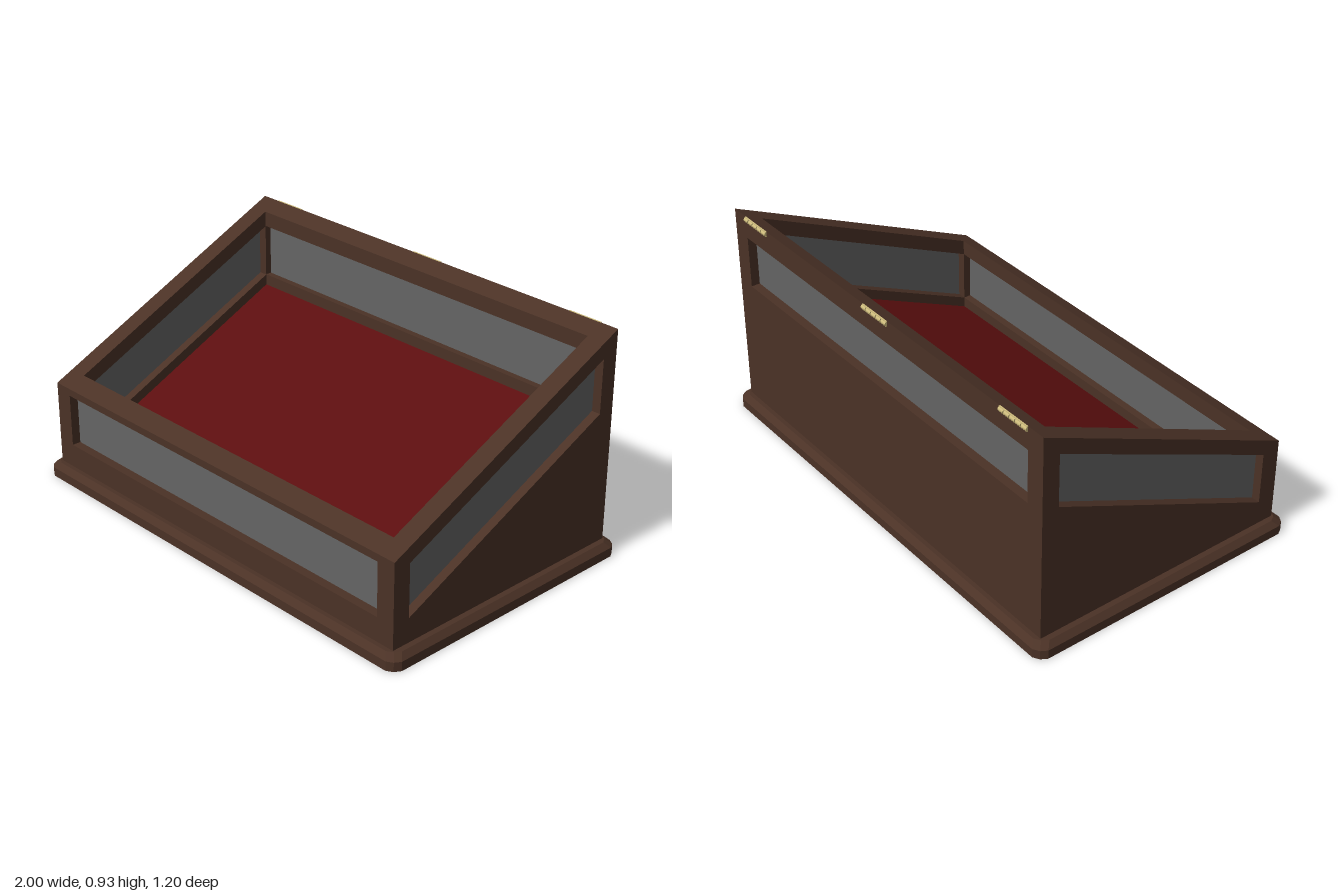
import * as THREE from 'three';

const HALF_W = 0.955, IN_W = 0.875;        // outer and inner half width of the case
const FRONT = 0.56, IN_FRONT = 0.485, IN_BACK = -0.49, BACK = -0.56;
const top = (z) => 0.668 - 0.46 * z;       // height of the sloping rim

const material = (name, color) => {
  const m = new THREE.MeshStandardMaterial({ color });
  m.name = name;
  return m;
};

// Outline from [z, y] points, drawn so that extruding runs along +x after turning
const outline = (pts, Type = THREE.Shape) =>
  new Type(pts.map(([z, y]) => new THREE.Vector2(-z, y)));

function extrudeX(shape, x0, x1) {
  const g = new THREE.ExtrudeGeometry(shape, { depth: x1 - x0, bevelEnabled: false });
  g.rotateY(Math.PI / 2);
  g.translate(x0, 0, 0);
  return g;
}

// Slanted quad following the rim, between two drops below it
const slanted = (lo, hi) => [
  [IN_FRONT, top(IN_FRONT) - lo], [IN_BACK, top(IN_BACK) - lo],
  [IN_BACK, top(IN_BACK) - hi], [IN_FRONT, top(IN_FRONT) - hi],
];

// Plinth with clipped corners and a chamfered upper edge
function plinthGeometry() {
  const pts = [];
  for (const [sx, sz] of [[1, 1], [-1, 1], [-1, -1], [1, -1]]) {
    const corner = [[1, 0.56], [0.985, 0.585], [0.96, 0.6]];
    if (sx * sz < 0) corner.reverse();
    corner.forEach(([x, z]) => pts.push(new THREE.Vector2(sx * x, sz * z)));
  }
  const g = new THREE.ExtrudeGeometry(new THREE.Shape(pts), { depth: 0.06, steps: 2, bevelEnabled: false });
  g.rotateX(-Math.PI / 2);
  const p = g.attributes.position;
  for (let i = 0; i < p.count; i++) {
    const y = p.getY(i);
    if (y > 0.05) {
      p.setX(i, p.getX(i) - Math.sign(p.getX(i)) * 0.022);
      p.setZ(i, p.getZ(i) - Math.sign(p.getZ(i)) * 0.022);
    } else if (y > 0.02) p.setY(i, 0.038);
  }
  g.computeVertexNormals();
  return g;
}

export function createModel() {
  const wood = material('dark wood', 0x4b3226);
  const glass = material('grey glass', 0x646464);
  const felt = material('red felt', 0x5c0e0f);
  const brass = material('brass', 0xcdbb7c);
  const model = new THREE.Group();
  model.name = 'displayCase';
  const add = (name, geometry, mat) => {
    const m = new THREE.Mesh(geometry, mat);
    m.name = name;
    model.add(m);
    return m;
  };

  add('plinth', plinthGeometry(), wood);

  // Side walls with slanted windows
  for (const [side, s] of [['left', 1], ['right', -1]]) {
    const wall = outline([[FRONT, 0.05], [BACK, 0.05], [BACK, top(BACK)], [FRONT, top(FRONT)]]);
    wall.holes.push(outline(slanted(0.285, 0.065), THREE.Path));
    const a = s > 0 ? IN_W : -HALF_W;
    add(side + 'Wall', extrudeX(wall, a, a + HALF_W - IN_W), wood);
    const x = s * (HALF_W - 0.04);
    add(side + 'Glass', extrudeX(outline(slanted(0.285, 0.065)), x - 0.003, x + 0.003), glass);
  }

  // Front and back rails, running between the side walls
  const rails = {
    frontLowerRail: [[FRONT, 0.05], [IN_FRONT, 0.05], [IN_FRONT, 0.16], [FRONT, 0.16]],
    frontUpperRail: [[FRONT, 0.38], [IN_FRONT, 0.38], [IN_FRONT, top(IN_FRONT)], [FRONT, top(FRONT)]],
    backLowerRail: [[IN_BACK, 0.05], [BACK, 0.05], [BACK, 0.61], [IN_BACK, 0.61]],
    backUpperRail: [[IN_BACK, 0.83], [BACK, 0.83], [BACK, top(BACK)], [IN_BACK, top(IN_BACK)]],
  };
  for (const name in rails) add(name, extrudeX(outline(rails[name]), -IN_W, IN_W), wood);

  // Front and back panes
  const pane = new THREE.BoxGeometry(2 * IN_W, 0.22, 0.006);
  add('frontGlass', pane, glass).position.set(0, 0.27, FRONT - 0.04);
  add('backGlass', pane, glass).position.set(0, 0.72, BACK + 0.04);

  // Sloping display bed
  add('displayBed', extrudeX(outline(slanted(0.35, 0.33)), -IN_W, IN_W), felt);

  // Hinges: a row of knuckles and a thin leaf on the back edge
  const knuckle = new THREE.CylinderGeometry(0.009, 0.009, 0.026, 10);
  knuckle.rotateZ(Math.PI / 2);
  const leaf = new THREE.BoxGeometry(0.15, 0.022, 0.006);
  for (const x of [-0.8, 0, 0.8]) {
    const hinge = new THREE.Group();
    hinge.name = 'hinge';
    hinge.position.set(x, 0.915, BACK - 0.002);
    const plate = new THREE.Mesh(leaf, brass);
    plate.name = 'hingeLeaf';
    hinge.add(plate);
    for (let i = -2; i <= 2; i++) {
      const k = new THREE.Mesh(knuckle, brass);
      k.name = 'hingeKnuckle';
      k.position.x = i * 0.031;
      hinge.add(k);
    }
    model.add(hinge);
  }
  return model;
}
